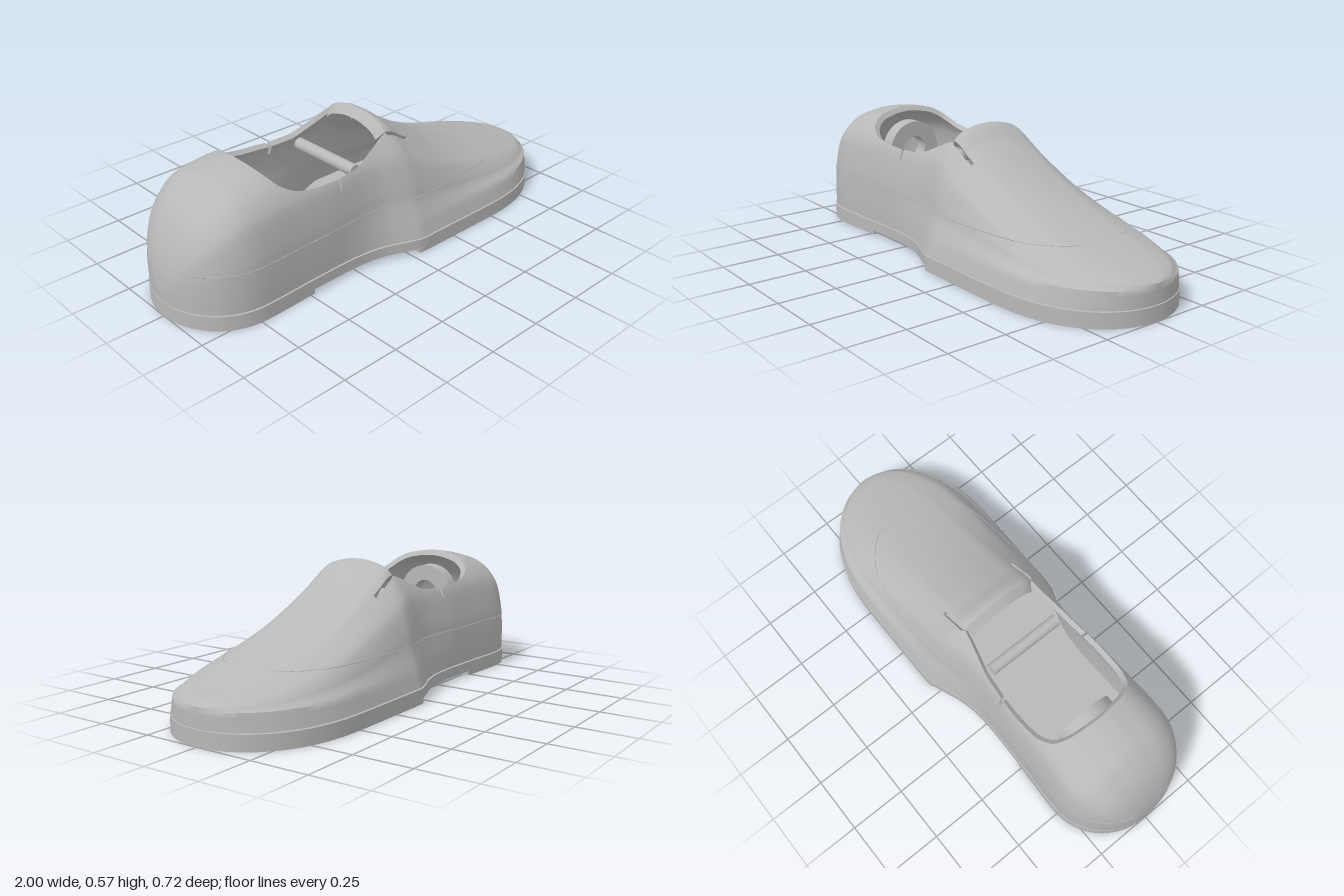
import * as THREE from 'three';
import { toCreasedNormals } from 'three/addons/utils/BufferGeometryUtils.js';

const { clamp, smoothstep } = THREE.MathUtils;

// Smooth monotone interpolation through [x, value] pairs
function curve(p) {
  const n = p.length;
  const d = p.slice(1).map((q, i) => (q[1] - p[i][1]) / (q[0] - p[i][0]));
  const m = p.map((_, i) => {
    if (i === 0) return d[0];
    if (i === n - 1) return d[n - 2];
    return d[i - 1] * d[i] <= 0 ? 0 : 2 * d[i - 1] * d[i] / (d[i - 1] + d[i]);
  });
  return x => {
    x = clamp(x, p[0][0], p[n - 1][0]);
    let i = 0;
    while (i < n - 2 && x > p[i + 1][0]) i++;
    const w = p[i + 1][0] - p[i][0], t = (x - p[i][0]) / w, t2 = t * t, t3 = t2 * t;
    return (2 * t3 - 3 * t2 + 1) * p[i][1] + (t3 - 2 * t2 + t) * w * m[i]
      + (3 * t2 - 2 * t3) * p[i + 1][1] + (t3 - t2) * w * m[i + 1];
  };
}

const BASE = 0.068, KNEE = 0.14, BACK = -0.62, SLOT = 0.14, WALL = 0.022;

// Half width of the footprint, rounded at heel and toe
const footprint = curve([[-1, 0.286], [-0.72, 0.286], [-0.5, 0.277], [-0.3, 0.272], [-0.2, 0.277],
  [-0.1, 0.297], [0, 0.336], [0.07, 0.356], [1, 0.358]]);
function halfWidth(x) {
  let r = 1;
  if (x < -0.72) r = 1 - ((-0.72 - x) / 0.28) ** 2.15;
  if (x > 0.45) r = 1 - ((x - 0.45) / 0.55) ** 2.6;
  return footprint(x) * Math.sqrt(Math.max(r, 0));
}
// Height of the ridge line (continued across the opening) and of the collar rim
const ridge = curve([[-1, 0.12], [-0.99, 0.2], [-0.96, 0.3], [-0.92, 0.385], [-0.87, 0.45], [-0.78, 0.518],
  [-0.7, 0.535], [-0.62, 0.545], [-0.3, 0.54], [0, 0.57], [0.1, 0.508], [0.2, 0.447], [0.3, 0.39],
  [0.4, 0.342], [0.5, 0.301], [0.6, 0.266], [0.7, 0.237], [0.8, 0.209], [0.9, 0.184], [0.97, 0.166], [1, 0.15]]);
const rimPoints = [[-0.62, 0.546], [-0.61, 0.53], [-0.6, 0.515], [-0.57, 0.482], [-0.5, 0.447], [-0.4, 0.432],
  [-0.307, 0.425], [-0.306, 0.385], [-0.295, 0.385], [-0.294, 0.425], [-0.2, 0.43], [-0.1, 0.468],
  [-0.03, 0.5], [0, 0.51]];
const rim = curve(rimPoints);

// Half sections as width fraction and height: 0 base, 0.14 top of the side wall, 1 ridge
const spline = pts => new THREE.SplineCurve(pts.map(p => new THREE.Vector2(...p)));
const foreSection = spline([[1, 0], [0.944, 0.14], [0.86, 0.32], [0.82, 0.46], [0.74, 0.66], [0.66, 0.76],
  [0.535, 0.864], [0.42, 0.94], [0.26, 0.978], [0.12, 0.997], [0, 1]]);
const heelSection = spline([[1, 0], [1, 0.14], [0.99, 0.32], [0.97, 0.46], [0.91, 0.66], [0.84, 0.77],
  [0.69, 0.88], [0.5, 0.95], [0.3, 0.98], [0.14, 0.997], [0, 1]]);

// Surface point: u runs from -1 (base, -z) over 0 (ridge) to 1 (base, +z)
function skin(x, u, inset = 0) {
  const s = 1 - Math.abs(u);
  const f = foreSection.getPoint(s).lerp(heelSection.getPoint(s), 1 - smoothstep(x, -0.4, 0.05));
  const w = Math.max(halfWidth(x) - inset, 0), top = ridge(x) - inset;
  const knee = Math.min(KNEE, BASE + (top - BASE) * 0.9), t = clamp(f.y, 0, 1);
  const y = t < 0.14 ? BASE + (knee - BASE) * t / 0.14 : knee + (top - knee) * (t - 0.14) / 0.86;
  return new THREE.Vector3(x * (1 - inset), y, Math.sign(u) * w * f.x);
}
// Section position of the highest point that still passes a test
function climb(x, test) {
  let lo = 0, hi = 1;
  for (let k = 0; k < 22; k++) {
    const mid = (lo + hi) / 2;
    if (test(skin(x, mid))) hi = mid; else lo = mid;
  }
  return hi;
}

// Closed shell with thickness over n rows from u0 to u1, trimmed to the range given by trim(x);
// lean pushes the inner face back along x
function shell(xs, [u0, u1, n], trim, thick = WALL, lean = 0) {
  const pos = [], idx = [], ring = 2 * (n + 1);
  for (const x of xs) {
    const [a, b] = trim(x);
    for (let j = 0; j < ring; j++) {
      const inner = j > n, k = inner ? ring - 1 - j : j;
      const u = clamp(u0 + (u1 - u0) * k / n, a, b);
      pos.push(...(inner ? skin(x - lean, u, thick) : skin(x, u)).toArray());
    }
  }
  for (let i = 0; i < xs.length - 1; i++) for (let j = 0; j < ring; j++) {
    const a = i * ring + j, b = i * ring + (j + 1) % ring, c = b + ring, d = a + ring;
    idx.push(a, b, d, b, c, d);
  }
  const last = (xs.length - 1) * ring;
  for (let j = 0; j < n; j++) {
    const o = j, p = j + 1, q = ring - 2 - j, r = ring - 1 - j;
    idx.push(o, r, p, p, r, q);
    idx.push(last + o, last + p, last + r, last + p, last + q, last + r);
  }
  const g = new THREE.BufferGeometry();
  g.setAttribute('position', new THREE.Float32BufferAttribute(pos, 3));
  g.setIndex(idx);
  return toCreasedNormals(g, 0.7);
}

// Slab of the footprint between two x positions and two heights, grown sideways
function slab(x0, x1, y0, y1, grow) {
  const n = 90, pts = [];
  for (let i = 0; i <= n; i++) {
    const x = (x0 + x1) / 2 - Math.cos(Math.PI * i / n) * (x1 - x0) / 2;
    pts.push(new THREE.Vector2(x * (1 + Math.min(grow, 0)), Math.max(halfWidth(x) + grow, 0.001)));
  }
  const back = pts.map(p => new THREE.Vector2(p.x, -p.y)).reverse();
  const g = new THREE.ExtrudeGeometry(new THREE.Shape([...pts, ...back]), { depth: y1 - y0, bevelEnabled: false });
  g.rotateX(-Math.PI / 2).translate(0, y0, 0);
  return toCreasedNormals(g, 0.5);
}

export function createModel() {
  const group = new THREE.Group();
  const grey = new THREE.MeshStandardMaterial({ color: 0xb8b8b8 });
  grey.name = 'plain grey';
  const add = (name, geometry) => {
    const mesh = new THREE.Mesh(geometry, grey);
    mesh.name = name;
    group.add(mesh);
    return mesh;
  };
  const steps = (n, f) => Array.from({ length: n + 1 }, (_, i) => f(i / n));

  // Sole with a raised arch, and the inset core that leaves a groove above it
  add('sole', slab(-1, 1, 0.02, 0.064, 0.004));
  add('heelTread', slab(-1, -0.48, 0, 0.021, 0.004));
  add('forefootTread', slab(0.04, 1, 0, 0.021, 0.004));
  add('insole', slab(-1, 1, 0.05, 0.074, -0.01));

  // Upper: heel cup and vamp
  const whole = () => [-1, 1];
  add('heelCup', shell(steps(30, t => -1 + (1 + BACK) * t * t), [-1, 1, 80], whole));
  add('vamp', shell(steps(50, t => 1 - (1 - SLOT) * (1 - t) ** 2), [-1, 1, 80], whole));

  // Side quarters, cut by the collar, its small notches and the slots beside the tongue
  const xs = [];
  rimPoints.forEach(([x], i) => {
    const next = i < rimPoints.length - 1 ? rimPoints[i + 1][0] : SLOT;
    const n = Math.max(1, Math.ceil((next - x) / (x < -0.57 ? 0.004 : 0.02)));
    for (let k = 0; k < n; k++) xs.push(x + (next - x) * k / n);
  });
  xs.push(SLOT);
  const edge = x => x <= 0 ? climb(x, p => p.y <= rim(x)) : climb(x, p => p.z >= 0.185);
  add('leftQuarter', shell(xs, [0, 1, 40], x => [edge(x), 1]));
  add('rightQuarter', shell(xs, [-1, 0, 40], x => [-1, -edge(x)]));

  // Tongue between the slots, with a slanting lip
  const flap = x => climb(x, p => p.z >= 0.173);
  add('tongue', shell(steps(12, t => 0.004 + (SLOT - 0.004) * t), [-0.6, 0.6, 48], x => [-flap(x), flap(x)], 0.036, 0.034));

  // Fine seam line around the upper
  const seamY = 0.233, seam = [];
  const seamXs = steps(70, t => -0.12 - Math.cos(Math.PI * t) * 0.87).filter(x => ridge(x) > seamY + 0.002);
  for (const x of seamXs) seam.push(skin(x, climb(x, p => p.y <= seamY)));
  const mirrored = seam.map(p => new THREE.Vector3(p.x, p.y, -p.z)).reverse();
  const seamPath = new THREE.CatmullRomCurve3([...seam, ...mirrored], true);
  add('seam', new THREE.TubeGeometry(seamPath, 280, 0.002, 5, true));

  // Ring at the heel and cross bar inside the shoe
  const ringShape = new THREE.Shape().absarc(0, 0, 0.13, 0, Math.PI * 2);
  ringShape.holes.push(new THREE.Path().absarc(0, 0, 0.06, 0, Math.PI * 2, true));
  const ringGeo = new THREE.ExtrudeGeometry(ringShape, { depth: 0.066, bevelEnabled: false, curveSegments: 32 });
  const heelRing = add('heelRing', toCreasedNormals(ringGeo, 0.5));
  heelRing.rotation.y = Math.PI / 2;
  heelRing.position.set(-0.616, 0.35, 0);
  const bar = add('crossBar', new THREE.CylinderGeometry(0.026, 0.026, 0.35, 24));
  bar.rotation.x = Math.PI / 2;
  bar.position.set(-0.165, 0.395, 0);

  return group;
}
